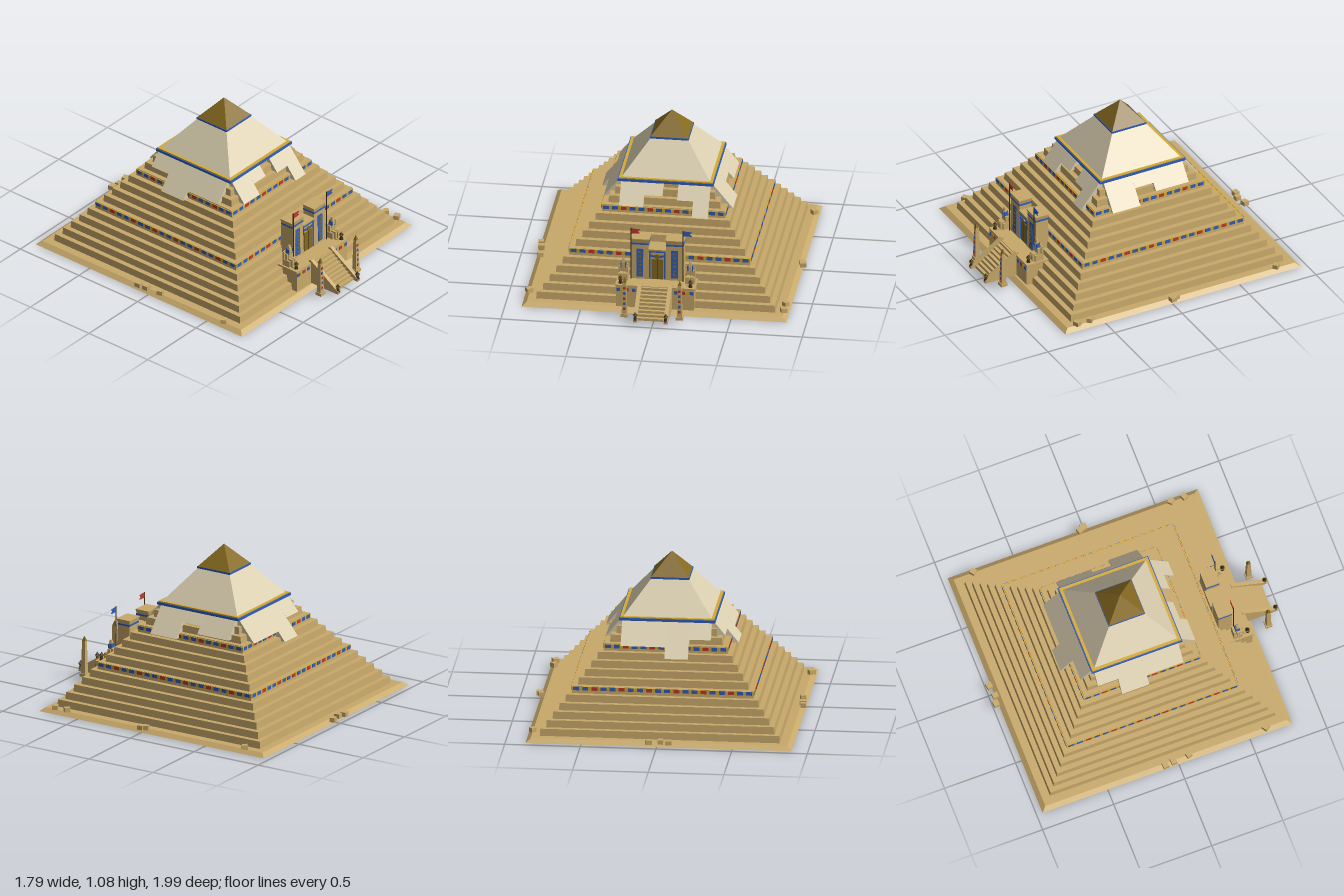
import * as THREE from 'three';

const mat = (name, color) => Object.assign(new THREE.MeshStandardMaterial({ color }), { name });

export function createModel() {
  const sand = mat('sandstone', 0xc8a96a);
  const casing = mat('limestone casing', 0xdbcfb0);
  const bronze = mat('dark gold', 0x866a20);
  const gold = mat('bright gold', 0xd6aa35);
  const blue = mat('blue paint', 0x2f5fbe);
  const red = mat('red paint', 0xbe3a2c);
  const dark = mat('dark wood', 0x3b2b1a);

  const root = new THREE.Group();
  root.name = 'steppedPyramid';
  const group = (name, parent, x = 0, y = 0, z = 0) => {
    const g = new THREE.Group();
    g.name = name;
    g.position.set(x, y, z);
    parent.add(g);
    return g;
  };
  const add = (parent, name, geo, m, x = 0, y = 0, z = 0) => {
    const mesh = new THREE.Mesh(geo, m);
    mesh.name = name;
    mesh.position.set(x, y, z);
    parent.add(mesh);
    return mesh;
  };
  // Box standing on y, with its top scaled by t
  const block = (parent, name, m, w, h, d, x, y, z, t = 1) => {
    const geo = new THREE.BoxGeometry(w, h, d).translate(0, h / 2, 0);
    const p = geo.attributes.position;
    for (let i = 0; i < p.count; i++) {
      if (p.getY(i) > h / 2) p.setXYZ(i, p.getX(i) * t, h, p.getZ(i) * t);
    }
    geo.computeVertexNormals();
    return add(parent, name, geo, m, x, y, z);
  };

  // ---- Pyramid ----
  const pyr = group('pyramid', root, -0.012, 0, -0.08);
  const Y0 = 0.025, STEP = 0.048, RUN = 0.0383, APEX = 1.075, SLOPE = 1.255;
  const halfAt = (y) => (APEX - y) / SLOPE;
  const layerHalf = (i) => 0.793 - RUN * i;
  block(pyr, 'groundSlab', sand, 1.757, Y0, 1.757, 0, 0, 0, 0.965);
  for (let i = 0; i < 14; i++) {
    const w = 2 * layerHalf(i);
    block(pyr, 'stepLayer', sand, w, STEP, w, 0, Y0 + i * STEP, 0, 1 - 0.008 / w);
  }

  // Painted tile bands on all four sides of a layer
  const tileBand = (layer, y, n) => {
    const half = layerHalf(layer), pitch = (2 * half) / n;
    for (let s = 0; s < 4; s++) {
      const side = group('tileBand', pyr);
      side.rotation.y = (s * Math.PI) / 2;
      block(side, 'bandStrip', gold, 2 * half, 0.026, 0.006, 0, y, half);
      for (let i = 0; i < n; i++) {
        block(side, 'bandTile', i % 3 === 2 ? red : blue, pitch * 0.65, 0.024, 0.008,
          -half + (i + 0.5) * pitch, y + 0.001, half + 0.001);
      }
    }
  };
  tileBand(5, 0.286, 20);
  tileBand(10, 0.522, 14);

  // Smooth upper casing, trims and capstone
  const hc = halfAt(0.7), ht = halfAt(0.925);
  block(pyr, 'upperCasing', casing, 2 * hc, 0.225, 2 * hc, 0, 0.7, 0, ht / hc);
  block(pyr, 'lowerTrimBlue', blue, 0.636, 0.017, 0.636, 0, 0.685, 0);
  block(pyr, 'lowerTrimGold', gold, 0.622, 0.007, 0.622, 0, 0.702, 0);
  block(pyr, 'capTrim', blue, 0.256, 0.013, 0.256, 0, 0.917, 0);
  block(pyr, 'capstone', bronze, 0.25, APEX - 0.93, 0.25, 0, 0.93, 0, 0.001);

  // Broken casing slabs: [from, to, bottom height] along each side
  const slabs = [
    [[-0.295, -0.136, 0.555], [-0.136, -0.014, 0.618], [0.086, 0.192, 0.6], [0.192, 0.297, 0.513]],
    [[-0.29, -0.085, 0.522], [-0.085, 0.052, 0.617], [0.052, 0.296, 0.572]],
    [[-0.297, -0.002, 0.544], [-0.002, 0.152, 0.48], [0.152, 0.295, 0.59]],
    [[-0.3, -0.158, 0.6], [-0.158, 0.032, 0.505], [0.032, 0.29, 0.563]],
  ];
  slabs.forEach((list, s) => {
    const side = group('casingSlabs', pyr);
    side.rotation.y = (s * Math.PI) / 2;
    for (const [a, b, yb] of list) {
      const o = halfAt(yb) + 0.004, u = hc + 0.002;
      const profile = new THREE.Shape([[o, yb], [u, 0.7], [u - 0.05, 0.7], [o - 0.05, yb]]
        .map(([x, y]) => new THREE.Vector2(x, y)));
      const geo = new THREE.ExtrudeGeometry(profile, { depth: b - a, bevelEnabled: false });
      // profile x becomes outward z, depth runs along the side
      geo.rotateY(-Math.PI / 2);
      add(side, 'casingSlab', geo, casing, b, 0, 0);
    }
  });

  // ---- Entrance terrace and stairs ----
  const gate = group('entrance', root, -0.011, 0, 0);
  block(gate, 'terrace', sand, 0.516, 0.15, 0.26, 0, Y0, 0.625);
  block(gate, 'terraceLip', sand, 0.53, 0.012, 0.265, 0, 0.17, 0.625);
  const STEPS = 9, TOP = 0.178;
  for (let i = 0; i < STEPS; i++) {
    const d = 0.2 * (1 - i / STEPS), h = (TOP - Y0) / STEPS;
    block(gate, 'stair', sand, 0.18, h, d, 0, Y0 + i * h, 0.75 + d / 2);
  }
  const ramp = new THREE.Shape([[0.74, Y0], [0.985, Y0], [0.985, 0.045], [0.755, 0.198], [0.74, 0.198]]
    .map(([z, y]) => new THREE.Vector2(-z, y)));
  const rampGeo = new THREE.ExtrudeGeometry(ramp, { depth: 0.026, bevelEnabled: false })
    .rotateY(Math.PI / 2).translate(-0.013, 0, 0);

  // Brazier on a small foot
  const brazier = (x, y, z) => {
    const b = group('brazier', gate, x, y, z);
    add(b, 'brazierFoot', new THREE.CylinderGeometry(0.008, 0.014, 0.022, 8), dark, 0, 0.011, 0);
    add(b, 'brazierBowl', new THREE.CylinderGeometry(0.018, 0.009, 0.014, 8), bronze, 0, 0.029, 0);
    add(b, 'brazierFlame', new THREE.ConeGeometry(0.013, 0.024, 8), dark, 0, 0.047, 0);
  };

  for (const s of [-1, 1]) {
    add(gate, 'balustrade', rampGeo, sand, s * 0.101, 0, 0);
    brazier(s * 0.101, 0.04, 0.975);
    brazier(s * 0.232, 0.182, 0.728);
    for (const [x, m] of [[0.243, blue], [0.215, gold], [0.187, red], [0.14, blue]]) {
      block(gate, 'terraceTile', m, 0.024, 0.022, 0.008, s * x, 0.138, 0.755);
    }

    // Obelisk with painted marks
    const ob = group('obelisk', gate, s * 0.183, Y0, 0.893);
    block(ob, 'obeliskBase', sand, 0.046, 0.022, 0.046, 0, 0, 0);
    block(ob, 'obeliskShaft', sand, 0.034, 0.225, 0.034, 0, 0.022, 0, 0.68);
    block(ob, 'obeliskTip', bronze, 0.0235, 0.036, 0.0235, 0, 0.247, 0, 0.01);
    for (let i = 0; i < 5; i++) {
      block(ob, 'obeliskMark', i % 2 ? blue : red, 0.015, 0.018, 0.006,
        0, 0.05 + i * 0.037, 0.0155 - i * 0.0009);
    }

    // Gate tower
    const tw = group('tower', gate, s * 0.115, TOP, 0.595);
    block(tw, 'towerBody', sand, 0.124, 0.262, 0.1, 0, 0, 0, 0.9);
    block(tw, 'towerStripe', blue, 0.117, 0.012, 0.095, 0, 0.25, 0);
    block(tw, 'towerCornice', sand, 0.112, 0.026, 0.09, 0, 0.262, 0, 1.1);
    block(tw, 'towerCap', sand, 0.126, 0.006, 0.1, 0, 0.286, 0);
    const panel = group('towerPanel', tw, 0, 0.02, 0.049);
    panel.rotation.x = -0.019;
    block(panel, 'panelPlate', blue, 0.044, 0.2, 0.008, 0, 0, 0);
    for (let i = 0; i < 6; i++) {
      block(panel, 'panelMark', bronze, 0.02, 0.014, 0.004, 0, 0.014 + i * 0.031, 0.004);
    }

    // Flagpole with swallowtail flag
    add(gate, 'flagPole', new THREE.CylinderGeometry(0.004, 0.004, 0.372, 6), dark, s * 0.172, 0.366, 0.653);
    const cloth = new THREE.Shape([[0, 0], [0.06, 0.003], [0.045, 0.018], [0.06, 0.033], [0, 0.038]]
      .map(([x, y]) => new THREE.Vector2(x, y)));
    add(gate, 'flag', new THREE.ExtrudeGeometry(cloth, { depth: 0.004, bevelEnabled: false }),
      s < 0 ? red : blue, s * 0.172, 0.512, 0.651);

    // Seated statue
    const st = group('statue', gate, s * 0.222, TOP, 0.662);
    block(st, 'throne', sand, 0.062, 0.05, 0.06, 0, 0, -0.005);
    block(st, 'throneBack', sand, 0.058, 0.085, 0.014, 0, 0.02, -0.028);
    block(st, 'torso', sand, 0.036, 0.05, 0.026, 0, 0.05, -0.006, 1.15);
    for (const k of [-1, 1]) {
      block(st, 'thigh', sand, 0.017, 0.016, 0.05, k * 0.011, 0.046, 0.015);
      block(st, 'shin', sand, 0.016, 0.05, 0.016, k * 0.011, 0, 0.034);
      block(st, 'foot', sand, 0.016, 0.01, 0.024, k * 0.011, 0, 0.044);
      block(st, 'arm', sand, 0.011, 0.045, 0.018, k * 0.025, 0.052, -0.004);
      block(st, 'headdressLappet', blue, 0.008, 0.036, 0.014, k * 0.015, 0.092, 0.003);
    }
    block(st, 'head', sand, 0.022, 0.028, 0.022, 0, 0.1, 0);
    block(st, 'headdress', blue, 0.038, 0.032, 0.014, 0, 0.1, -0.012, 0.8);
    block(st, 'crown', sand, 0.026, 0.028, 0.024, 0, 0.127, -0.003, 0.5);
  }

  // Doorway between the towers
  block(gate, 'doorWall', sand, 0.12, 0.21, 0.09, 0, TOP, 0.59);
  block(gate, 'doorCornice', sand, 0.11, 0.022, 0.104, 0, 0.376, 0.59, 1.05);
  block(gate, 'doorCorniceStripe', blue, 0.11, 0.009, 0.006, 0, 0.378, 0.643);
  block(gate, 'door', bronze, 0.078, 0.148, 0.008, 0, TOP, 0.635);
  block(gate, 'doorSeam', dark, 0.003, 0.148, 0.004, 0, TOP, 0.639);
  for (const s of [-1, 1]) {
    block(gate, 'doorFrame', blue, 0.009, 0.195, 0.008, s * 0.05, TOP, 0.637);
    const wing = block(gate, 'discWing', blue, 0.04, 0.014, 0.006, s * 0.032, 0.342, 0.639);
    wing.rotation.z = s * 0.2;
  }
  add(gate, 'sunDisc', new THREE.CylinderGeometry(0.017, 0.017, 0.009, 16).rotateX(Math.PI / 2),
    bronze, 0, 0.346, 0.641);

  // ---- Loose stone blocks: x, z, turn ----
  const rocks = [
    [-0.88, -0.09, 0.1], [-0.872, -0.03, 0.05], [-0.863, 0.08, 0.3], [-0.863, 0.62, 0.6],
    [0.836, 0.6, 0.8], [0.836, 0.693, 0.4], [0.857, -0.03, 0.3], [0.87, 0, 0.1],
    [0.836, -0.79, 0.7], [-0.08, -0.978, 0.1], [-0.026, -0.963, 0.05], [0.053, -0.976, 0.2],
  ];
  rocks.forEach(([x, z, turn], i) => {
    const r = block(root, 'looseStone', sand, 0.036 + 0.006 * (i % 2), 0.03, 0.038, x, Y0, z);
    r.rotation.y = turn;
  });

  return root;
}
